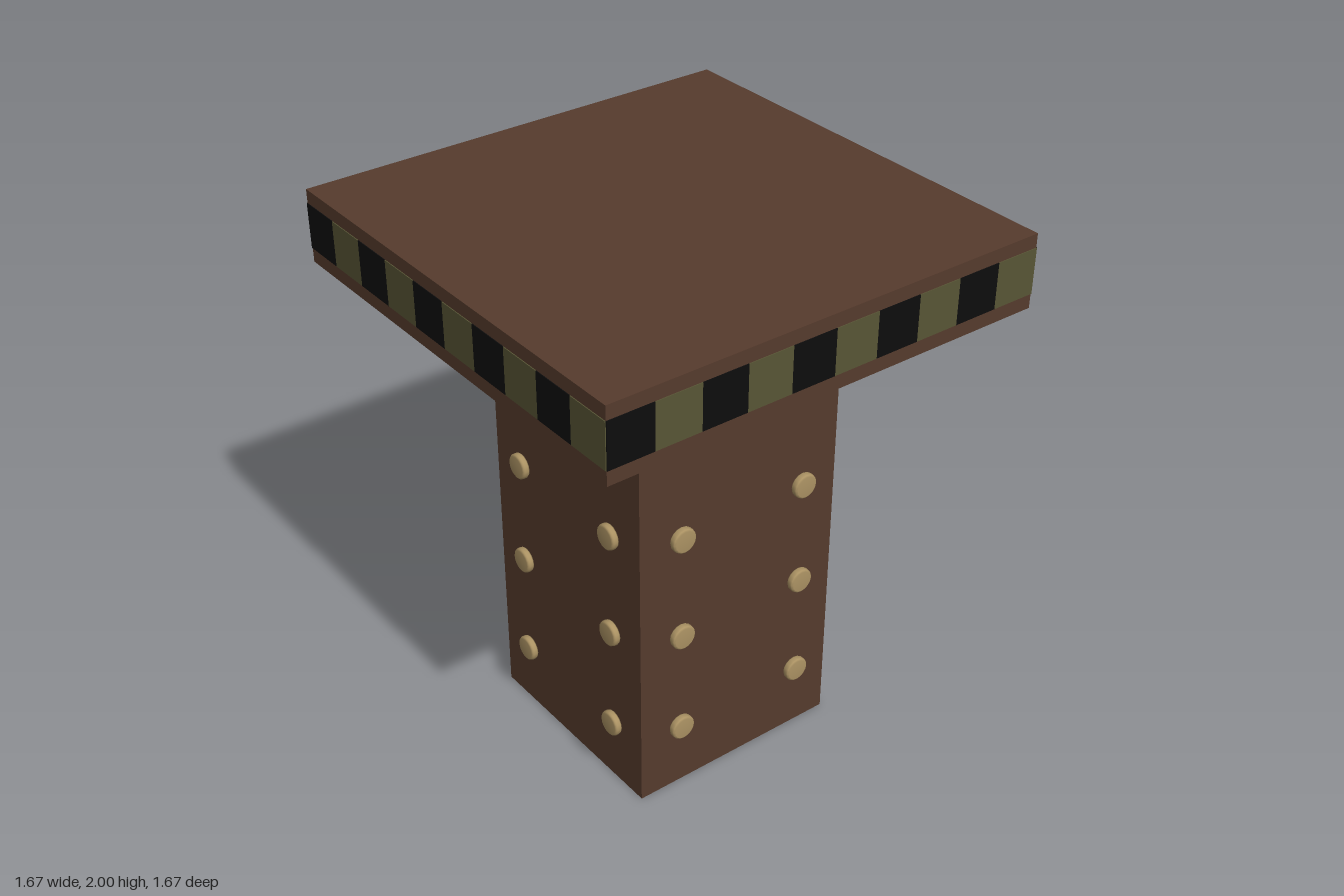
import * as THREE from 'three';

const mat = (name, color) => {
  const m = new THREE.MeshStandardMaterial({ color });
  m.name = name;
  return m;
};

export function createModel() {
  const brown = mat('brown', 0x563b2d);
  const brass = mat('brass', 0xab9263);
  const olive = mat('olive', 0x585535);
  const black = mat('black', 0x0d0d0d);

  const model = new THREE.Group();
  model.name = 'pillar';
  const add = (parent, name, geometry, material, x, y, z) => {
    const mesh = new THREE.Mesh(geometry, material);
    mesh.name = name;
    mesh.position.set(x, y, z);
    parent.add(mesh);
    return mesh;
  };

  const postHalf = 0.415, postTop = 1.735, slabHalf = 0.831;

  // Square post and the wide slab on top
  add(model, 'post', new THREE.BoxGeometry(2 * postHalf, postTop, 2 * postHalf), brown, 0, postTop / 2, 0);
  add(model, 'topSlab', new THREE.BoxGeometry(2 * slabHalf, 2 - postTop, 2 * slabHalf), brown, 0, (2 + postTop) / 2, 0);

  // Rivet: short disc with a softened rim, axis turned to +z
  const profile = [[0, 0], [0.044, 0], [0.047, 0.005], [0.047, 0.018], [0.045, 0.023], [0.039, 0.027], [0, 0.027]];
  const rivet = new THREE.LatheGeometry(profile.map(([r, h]) => new THREE.Vector2(r, h)), 16);
  rivet.rotateX(Math.PI / 2);

  // Alternating plates round the slab edge
  const count = 10, step = 2 * slabHalf / count;
  const plate = new THREE.BoxGeometry(step, 0.163, 0.004);

  // Rivet columns on each side, measured from the left of that side
  const columns = [[-0.26, 0.255], [-0.28, 0.235], [-0.263, 0.252], [-0.235, 0.28]];

  for (let i = 0; i < 4; i++) {
    const side = new THREE.Group();
    side.name = ['frontSide', 'leftSide', 'backSide', 'rightSide'][i];
    side.rotation.y = i * Math.PI / 2;
    model.add(side);

    for (let k = 0; k < count; k++) {
      add(side, 'edgeStripe', plate, k % 2 ? olive : black, -slabHalf + (k + 0.5) * step, 1.869, slabHalf + 0.001);
    }
    // The top row sits on the post; the lower rows stand slightly off it
    for (let row = 0; row < 4; row++) {
      for (const x of columns[i]) {
        add(side, 'rivet', rivet, brass, x, 0.275 + row * 0.4, row === 3 ? 0.416 : 0.431);
      }
    }
  }
  return model;
}
